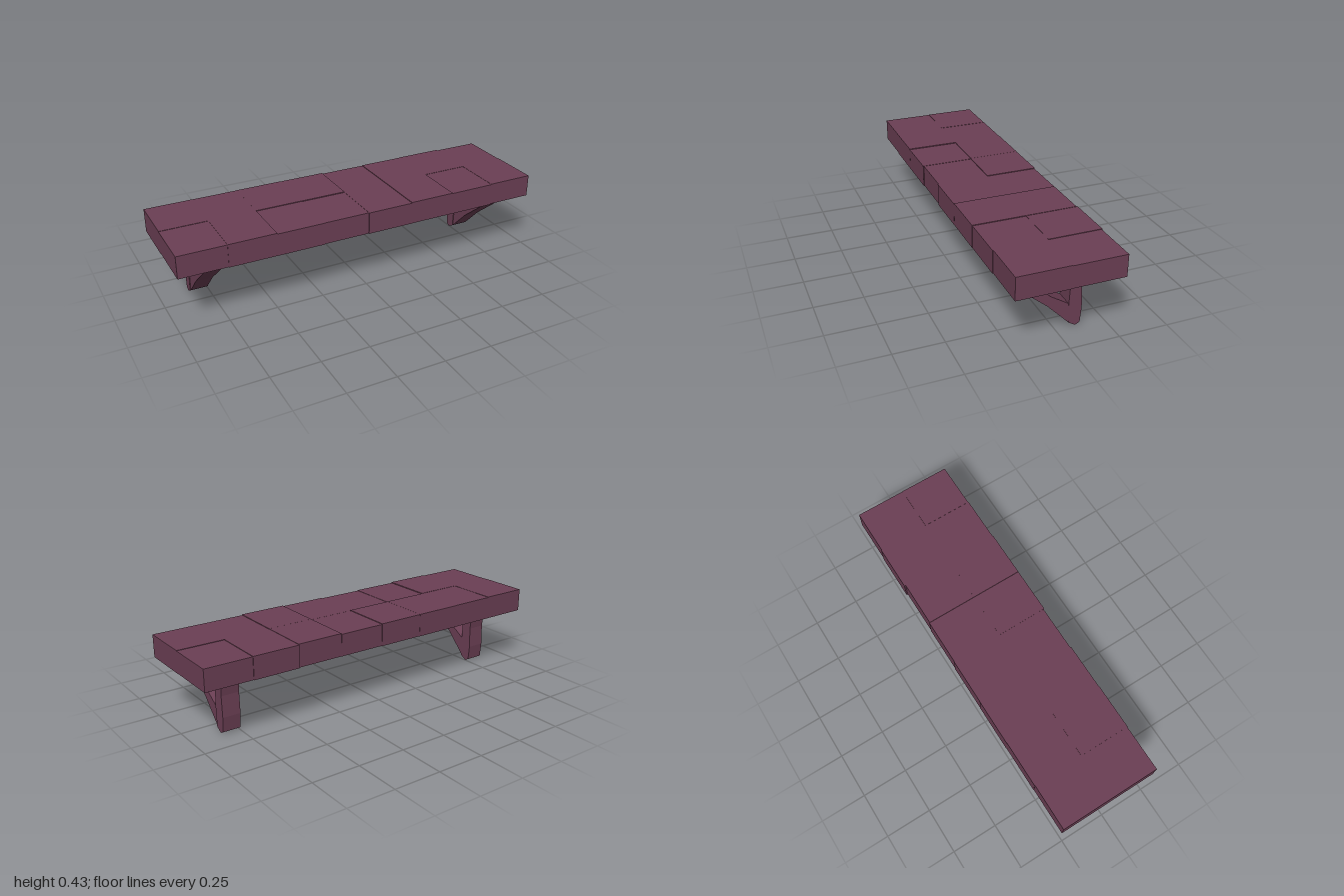
import * as THREE from 'three';

const wood = new THREE.MeshStandardMaterial({ color: 0x6b3f54 });
wood.name = 'plum wood';
wood.flatShading = true;

// Small seeded generator for the rough-hewn unevenness
let seed = 7;
const jitter = (amount) => {
  seed = (seed * 16807) % 2147483647;
  return (seed / 2147483647 - 0.5) * 2 * amount;
};

// Side profile (z, y) extruded across x and centred on x = 0
function sideProfile(name, points, width) {
  const shape = new THREE.Shape(points.map(([z, y]) => new THREE.Vector2(z, y)));
  const geo = new THREE.ExtrudeGeometry(shape, { depth: width, bevelEnabled: false });
  geo.translate(0, 0, -width / 2);
  geo.rotateY(-Math.PI / 2);
  const mesh = new THREE.Mesh(geo, wood);
  mesh.name = name;
  return mesh;
}

// Thick top: two rows of eight slightly uneven blocks
function makeTop() {
  const top = new THREE.Group();
  top.name = 'benchTop';
  const count = 8, length = 1.98 / count;
  for (const side of [-1, 1]) {
    for (let i = 0; i < count; i++) {
      const x = -0.99 + length * (i + 0.5);
      const y0 = 0.305 + jitter(0.002), y1 = 0.423 + jitter(0.004);
      const depth = 0.27 + jitter(0.004);
      const block = new THREE.Mesh(new THREE.BoxGeometry(length, y1 - y0, depth), wood);
      block.position.set(x, (y0 + y1) / 2, side * depth / 2);
      block.name = 'topBlock';
      top.add(block);
    }
  }
  return top;
}

// Bracket leg: upright post with a diagonal brace running forward
function makeLeg(name, x) {
  const leg = new THREE.Group();
  leg.name = name;
  leg.add(
    sideProfile('post', [
      [-0.07, 0.02], [-0.105, 0.0], [-0.127, 0.012], [-0.134, 0.09],
      [-0.13, 0.2], [-0.138, 0.285], [-0.16, 0.31], [-0.06, 0.31], [-0.074, 0.28], [-0.066, 0.12],
    ], 0.095),
    sideProfile('brace', [
      [0.245, 0.31], [0.205, 0.27], [0.04, 0.133], [-0.07, 0.02],
      [-0.1, 0.03], [-0.1, 0.11], [-0.065, 0.125], [0.03, 0.185], [0.12, 0.295], [0.115, 0.31],
    ], 0.088),
  );
  leg.position.x = x;
  return leg;
}

export function createModel() {
  seed = 7;
  const model = new THREE.Group();
  model.name = 'bench';
  model.add(makeTop(), makeLeg('leftLeg', 0.795), makeLeg('rightLeg', -0.8));
  return model;
}
